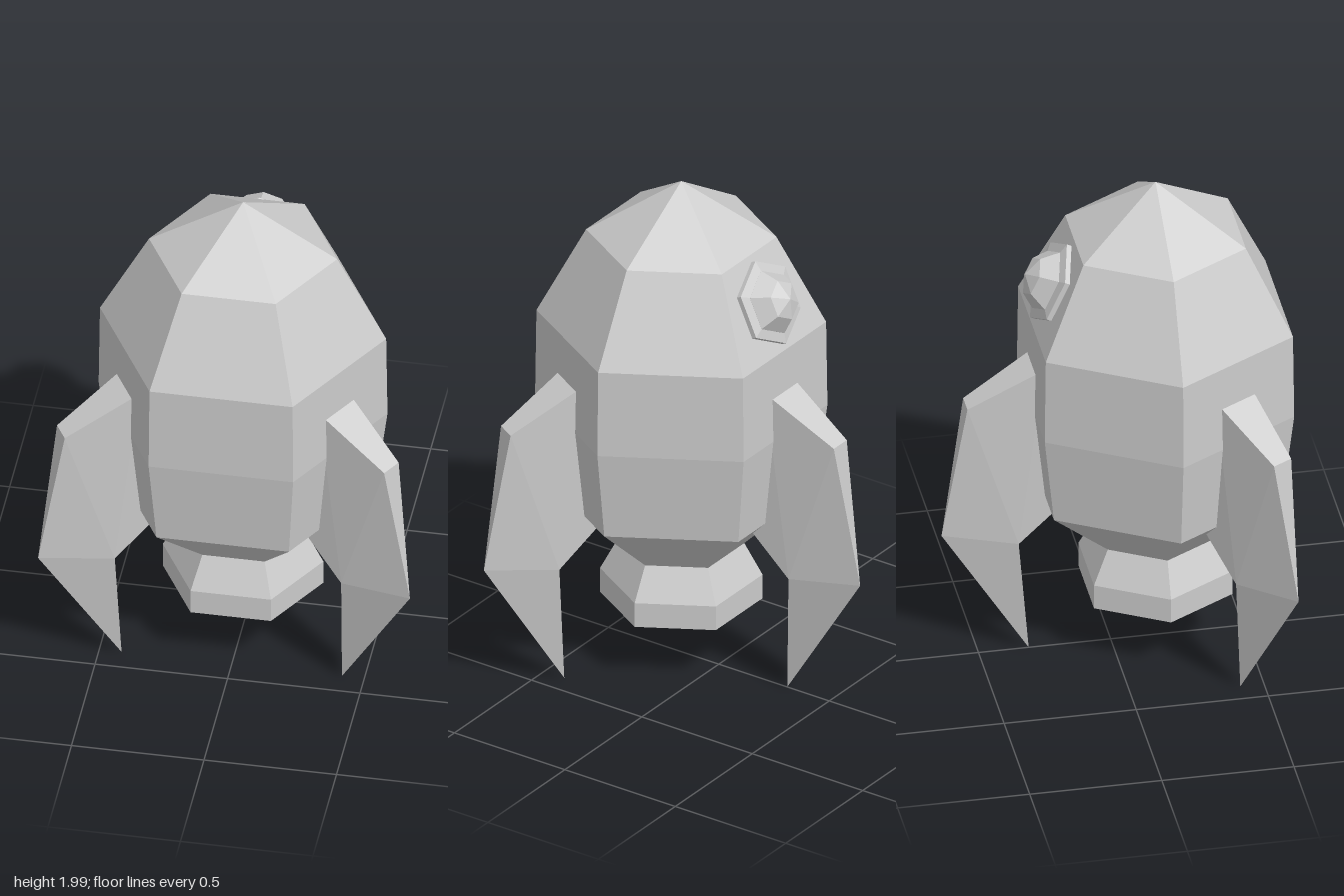
import * as THREE from 'three';

const AXIS_Z = 0.17; // the hull's axis
const material = new THREE.MeshStandardMaterial({ color: 0xcccccc, flatShading: true });

// Six-sided turned part from [radius, height] points, bottom to top
function hexLathe(name, profile, phiStart) {
  const points = profile.map(([r, y]) => new THREE.Vector2(r, y));
  let geometry = new THREE.LatheGeometry(points, 6, phiStart).toNonIndexed();
  geometry.computeVertexNormals();
  const mesh = new THREE.Mesh(geometry, material);
  mesh.name = name;
  return mesh;
}

// Fin outline: distance from axis, height, half thickness (0 = sharp edge)
function finGeometry() {
  const outline = [
    [0.44, 1.275, 0.085], // root top
    [0.72, 1.11, 0.042], // shoulder
    [0.81, 0.54, 0], // outer point
    [0.48, 0.01, 0], // foot
    [0.53, 0.51, 0.064], // inner knee
    [0.38, 0.665, 0.08], // root bottom
  ];
  const n = outline.length, knee = 4;
  const at = (i, side) => {
    const [d, y, w] = outline[i % n];
    return [side * w, y, d];
  };
  const positions = [];
  const tri = (...corners) => corners.forEach((c) => positions.push(...c));

  // Broad sides, fanned from the knee
  for (let k = 1; k < n - 1; k++) {
    tri(at(knee, 1), at(knee + k, 1), at(knee + k + 1, 1));
    tri(at(knee, -1), at(knee + k + 1, -1), at(knee + k, -1));
  }
  // Edge faces, left out where the edge is sharp
  for (let i = 0; i < n; i++) {
    const j = i + 1;
    if (outline[i][2] > 0) tri(at(i, 1), at(i, -1), at(j, -1));
    if (outline[j % n][2] > 0) tri(at(i, 1), at(j, -1), at(j, 1));
  }
  const geometry = new THREE.BufferGeometry();
  geometry.setAttribute('position', new THREE.Float32BufferAttribute(positions, 3));
  geometry.computeVertexNormals();
  return geometry;
}

export function createModel() {
  const model = new THREE.Group();
  model.name = 'rocket';

  const rocket = new THREE.Group();
  rocket.name = 'rocketBody';
  rocket.position.z = AXIS_Z;
  model.add(rocket);

  // Hull with flat faces to the front and back
  rocket.add(hexLathe('hull', [
    [0, 0.48], [0.235, 0.48], [0.5, 0.72], [0.545, 1.08],
    [0.54, 1.43], [0.355, 1.78], [0, 2],
  ], Math.PI / 6));

  // Flared exhaust
  rocket.add(hexLathe('nozzle', [
    [0, 0.25], [0.303, 0.25], [0.303, 0.35], [0.235, 0.48],
  ], Math.PI / 6));

  // Three fins: one at the back, two toward the front
  const fin = finGeometry();
  ['backFin', 'leftFin', 'rightFin'].forEach((name, i) => {
    const mesh = new THREE.Mesh(fin, material);
    mesh.name = name;
    mesh.rotation.y = Math.PI + i * (-Math.PI * 2 / 3) * -1;
    if (name === 'leftFin') mesh.rotation.y = Math.PI / 3;
    if (name === 'rightFin') mesh.rotation.y = -Math.PI / 3;
    rocket.add(mesh);
  });

  // Porthole lying on the sloping upper back face
  const porthole = new THREE.Group();
  porthole.name = 'porthole';
  porthole.position.set(0, 1.605, -0.217 - AXIS_Z);
  porthole.rotation.x = -1.14;
  porthole.add(hexLathe('portholeFrame', [
    [0.167, -0.02], [0.167, 0.02], [0.125, 0.03], [0.125, -0.02],
  ], 0));
  porthole.add(hexLathe('portholeDome', [
    [0.127, 0], [0.127, 0.03], [0.078, 0.09], [0, 0.118],
  ], 0));
  rocket.add(porthole);

  return model;
}
